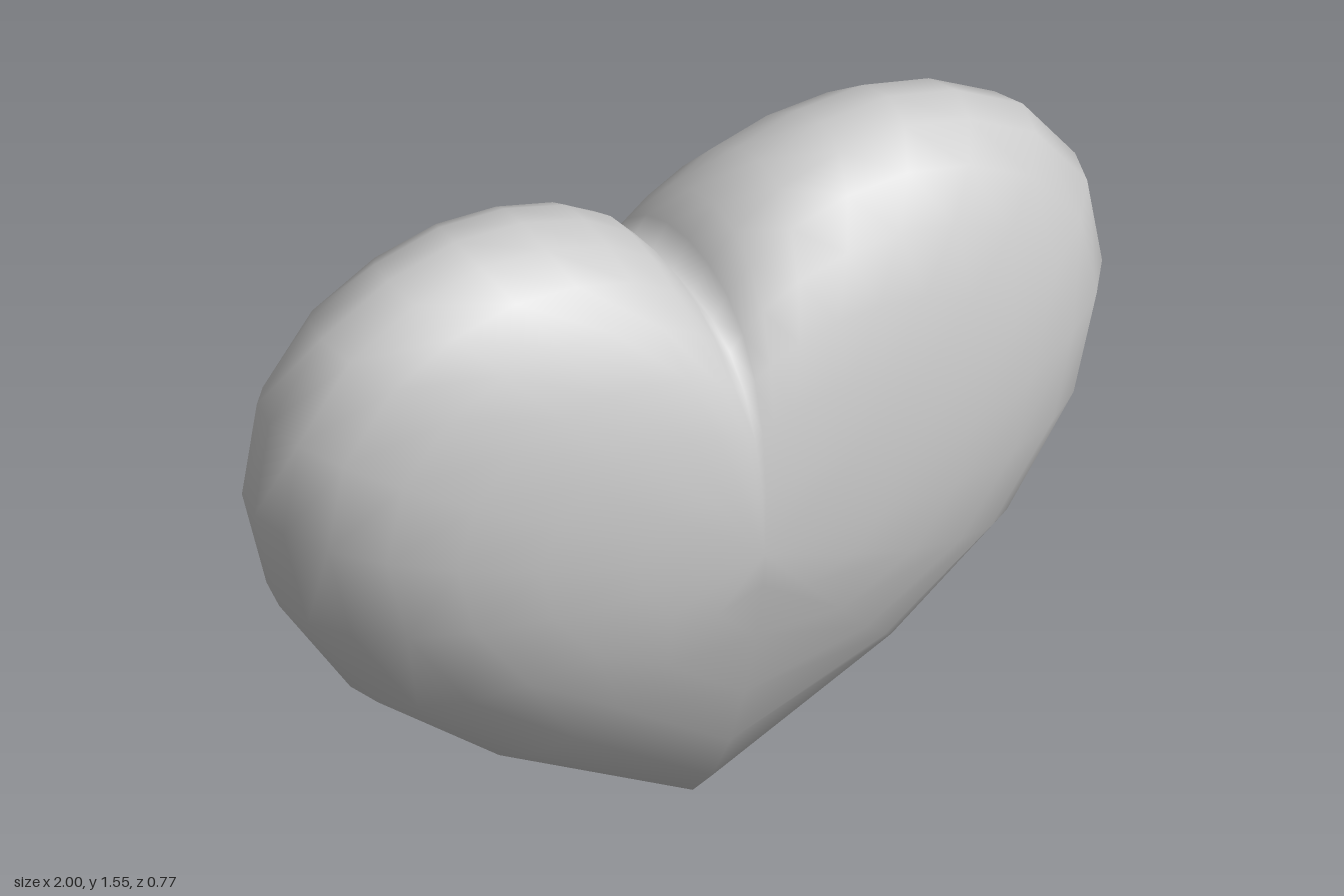
import * as THREE from 'three';
import { mergeVertices } from 'three/addons/utils/BufferGeometryUtils.js';

const CENTER_Y = 0.81, HALF_DEPTH = 0.383, RINGS = 14;

// Half outline from cleft to tip: x, y, falloff (higher = more pointed), cleft fill towards the middle
const HALF = [
  [0, 1.295, 1, 0.15], [0.04, 1.36, 1, 0.10], [0.10, 1.43, 1, 0.05], [0.21, 1.5, 1, 0.02],
  [0.36, 1.545, 1, 0], [0.52, 1.553, 1, 0], [0.68, 1.512, 0.95, 0], [0.84, 1.42, 0.9, 0],
  [0.965, 1.25, 0.85, 0], [1, 1.03, 0.8, 0], [0.94, 0.78, 0.8, 0], [0.77, 0.515, 0.85, 0],
  [0.475, 0.27, 1, 0], [0, 0, 1.5, 0],
];

// Puffed heart: outline rings shrinking to a pole at the front and at the back
function heartGeometry() {
  const mirrored = HALF.slice(1, -1).reverse().map(([x, ...rest]) => [-x, ...rest]);
  const outline = [...HALF, ...mirrored];
  const n = outline.length;
  const positions = [], indices = [];
  for (let i = 0; i <= RINGS; i++) {
    const t = (Math.PI * i) / RINGS;
    for (const [x, y, falloff, fill] of outline) {
      const s = Math.pow(Math.abs(Math.sin(t)), falloff);
      const filledY = y - CENTER_Y + fill * (1 - s * s);
      positions.push(x * s, CENTER_Y + filledY * s, HALF_DEPTH * Math.cos(t));
    }
  }
  for (let i = 0; i < RINGS; i++) {
    for (let j = 0; j < n; j++) {
      const k = (j + 1) % n;
      const a = i * n + j, b = a + n, c = i * n + k, d = c + n;
      if (i > 0) indices.push(a, c, b);
      if (i < RINGS - 1) indices.push(c, d, b);
    }
  }
  const geometry = new THREE.BufferGeometry();
  geometry.setAttribute('position', new THREE.Float32BufferAttribute(positions, 3));
  geometry.setIndex(indices);
  const merged = mergeVertices(geometry, 1e-4);
  merged.computeVertexNormals();
  return merged;
}

export function createModel() {
  const group = new THREE.Group();
  const heart = new THREE.Mesh(heartGeometry(), new THREE.MeshStandardMaterial({ color: 0xcccccc }));
  heart.name = 'heart';
  group.add(heart);
  return group;
}
